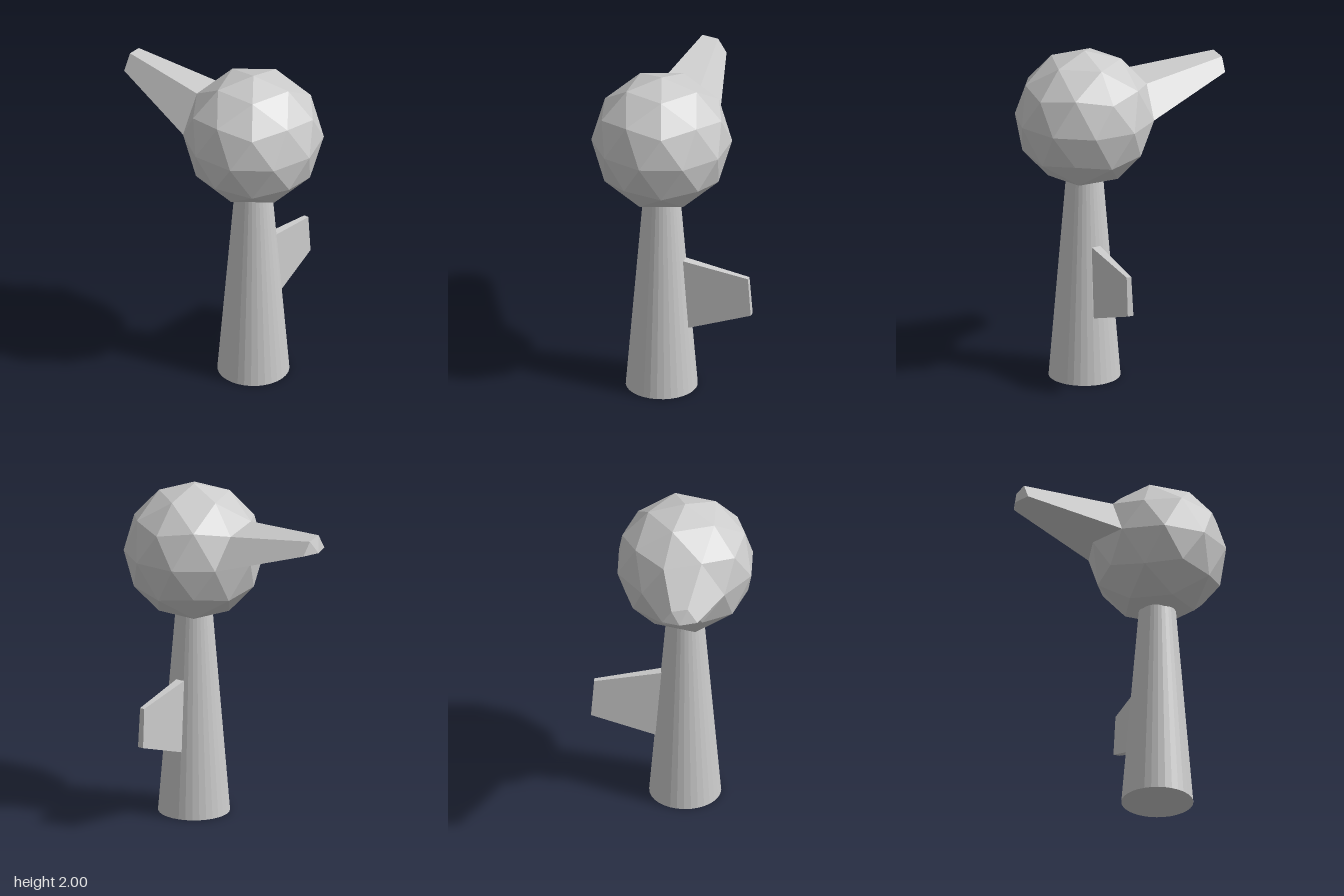
import * as THREE from 'three';

const CX = -0.08, CZ = 0.245;   // vertical axis of post and head
const HEAD_Y = 1.59, HEAD_R = 0.41;

const material = new THREE.MeshStandardMaterial({ color: 0xcccccc, flatShading: true });

function part(name, geometry, x = 0, y = 0, z = 0) {
  const mesh = new THREE.Mesh(geometry, material);
  mesh.name = name;
  mesh.position.set(x, y, z);
  return mesh;
}

// Joins two rings (counter-clockwise seen from the tip) and caps the tip with a fan.
function loft(base, tip) {
  const points = [];
  const n = base.length;
  for (let i = 0; i < n; i++) {
    const j = (i + 1) % n;
    points.push(base[i], base[j], tip[j], base[i], tip[j], tip[i]);
    if (i > 0 && i < n - 1) points.push(tip[0], tip[i], tip[i + 1]);
  }
  const geometry = new THREE.BufferGeometry().setFromPoints(points);
  geometry.computeVertexNormals();
  return geometry;
}

// Point on the head: turn from +z towards +x and latitude, in degrees.
function onHead(turn, latitude) {
  const t = THREE.MathUtils.degToRad(turn), l = THREE.MathUtils.degToRad(latitude);
  return new THREE.Vector3(
    CX + HEAD_R * Math.cos(l) * Math.sin(t),
    HEAD_Y + HEAD_R * Math.sin(l),
    CZ + HEAD_R * Math.cos(l) * Math.cos(t)
  );
}

export function createModel() {
  const model = new THREE.Group();
  model.name = 'birdFigure';

  // Tapered round post, its top hidden inside the head
  const post = new THREE.CylinderGeometry(0.107, 0.21, 1.24, 32);
  model.add(part('post', post, CX, 0.62, CZ));

  // Faceted ball with a corner pointing straight up
  const ball = new THREE.IcosahedronGeometry(HEAD_R, 1);
  ball.rotateZ(-Math.atan(2 / (1 + Math.sqrt(5))));
  model.add(part('head', ball, CX, HEAD_Y, CZ));

  // Beak drawn out of three facets at the back of the head, shrinking to the tip
  const root = [[180, 0], [216, 0], [198, 31.72], [162, 26.57], [144, 0]].map(([t, l]) => onHead(t, l));
  const tipCorner = new THREE.Vector3(CX, 1.755, -0.657);
  const tip = root.map((p) => p.clone().sub(root[0]).multiplyScalar(0.425).add(tipCorner));
  model.add(part('beak', loft(root, tip)));

  // Tapered fin on the left side of the post
  const finRoot = [[0.085, 0.4, 0.275], [0.085, 0.4, 0.207], [0.05, 0.832, 0.215], [0.05, 0.832, 0.27]];
  const finTip = [[0.467, 0.53, 0.245], [0.467, 0.53, 0.208], [0.449, 0.765, 0.213], [0.449, 0.765, 0.243]];
  const toVectors = (ring) => ring.map((p) => new THREE.Vector3(...p));
  model.add(part('fin', loft(toVectors(finRoot), toVectors(finTip))));

  return model;
}
